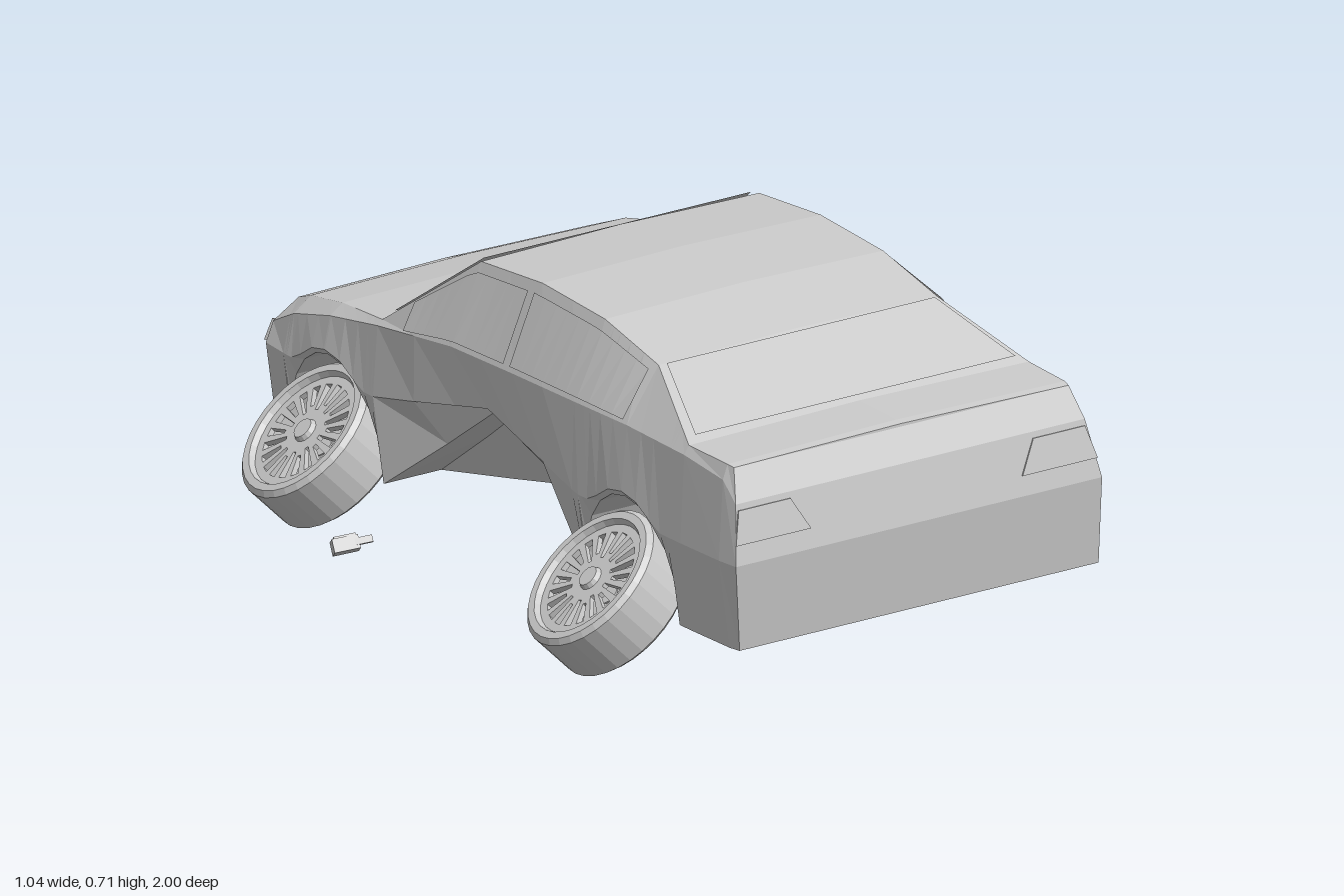
import * as THREE from 'three';

const mat = new THREE.MeshStandardMaterial({ color: 0xcccccc, flatShading: true, side: THREE.DoubleSide });
const mesh = (name, geo) => { const m = new THREE.Mesh(geo, mat); m.name = name; return m; };

// Geometry from a list of points and quads
function quadGeometry(points, quads) {
  const g = new THREE.BufferGeometry();
  g.setAttribute('position', new THREE.Float32BufferAttribute(points.flat(), 3));
  g.setIndex(quads.flatMap(([a, b, c, d]) => [a, b, c, a, c, d]));
  g.computeVertexNormals();
  return g;
}

// Body outline along z: z, half width, shoulder x and y, top edge x and y
const KEYS = [
  [-1, 0.24, 0.25, 0.325, 0.24, 0.35],
  [-0.97, 0.35, 0.345, 0.345, 0.3, 0.375],
  [-0.9, 0.405, 0.385, 0.38, 0.325, 0.415],
  [-0.8, 0.413, 0.39, 0.42, 0.35, 0.448],
  [-0.64, 0.415, 0.395, 0.455, 0.365, 0.475],
  [-0.45, 0.415, 0.392, 0.48, 0.38, 0.49],
  [-0.15, 0.415, 0.392, 0.51, 0.309, 0.665],
  [0.1, 0.415, 0.392, 0.515, 0.309, 0.681],
  [0.35, 0.415, 0.392, 0.518, 0.309, 0.668],
  [0.56, 0.415, 0.39, 0.52, 0.31, 0.625],
  [0.79, 0.415, 0.39, 0.515, 0.378, 0.532],
  [0.94, 0.412, 0.388, 0.5, 0.375, 0.529],
  [1, 0.407, 0.388, 0.46, 0.372, 0.526],
];
function outline(z) {
  let i = 0;
  while (i < KEYS.length - 2 && z > KEYS[i + 1][0]) i++;
  const t = (z - KEYS[i][0]) / (KEYS[i + 1][0] - KEYS[i][0]);
  return KEYS[i].map((v, k) => v + (KEYS[i + 1][k] - v) * t);
}

const FLOOR = 0.16, HUB_Y = 0.197, ARCH_R = 0.182, AXLES = [-0.635, 0.56];
function archHeight(z) {
  for (const c of AXLES) {
    const d = Math.abs(z - c);
    if (d < ARCH_R) return HUB_Y + Math.sqrt(ARCH_R ** 2 - d * d);
  }
  return FLOOR;
}

// One half of a cross-section, from the middle of the floor to the middle of the top
function halfSection(z, s) {
  const [, w, sx, sy, tx, ty] = outline(z);
  const a = archHeight(z), inner = Math.min(0.28, w - 0.03);
  const p = [[0, FLOOR], [inner, FLOOR], [inner, a], [w - 0.008, a],
    [w, Math.min(Math.max(0.34, a + 0.012), sy - 0.02)], [sx, sy], [tx, ty], [0, ty + 0.006]];
  const slope = z >= 1 ? [-0.03, -0.03, -0.03, -0.03, 0, -0.015, -0.04, -0.04]
    : z <= -1 ? [0.02, 0.02, 0.02, 0.02, 0, 0.01, 0.025, 0.015] : [];
  const out = p.map(([x, y], j) => [x * s, y, z + (slope[j] || 0)]);
  // Crushed sill on one side, deepest near the middle
  if (s < 0) {
    const k = Math.max(0, z > -0.03 ? 1 - (z + 0.03) / 0.4 : 1 - (-0.03 - z) / 0.41);
    const push = { 1: [0.23, 0], 2: [0.1, 0.29], 3: [0.2, 0.3], 4: [0.03, 0.07] };
    for (const j in push) { out[j][0] += push[j][0] * k; out[j][1] += push[j][1] * k; }
  }
  return out;
}

function bodyGeometry() {
  const zs = KEYS.map(k => k[0]);
  zs.push(-0.03, -0.3, 0.22);
  for (const c of AXLES) {
    zs.push(c - ARCH_R - 0.001, c + ARCH_R + 0.001);
    for (let k = 0; k <= 10; k++) zs.push(c - 0.9999 * ARCH_R * Math.cos(k * Math.PI / 10));
  }
  zs.sort((a, b) => a - b);
  const N = 14, pts = [], quads = [];
  zs.forEach((z, i) => {
    pts.push(...halfSection(z, 1), ...halfSection(z, -1).slice(1, 7).reverse());
    if (i === 0) return;
    const o = (i - 1) * N;
    for (let j = 0; j < N; j++) {
      const n = (j + 1) % N;
      quads.push([o + j, o + n, o + N + n, o + N + j]);
    }
  });
  // Nose and tail caps
  const last = (zs.length - 1) * N;
  for (let j = 0; j < 7; j++) {
    const l = (N - j) % N, l1 = N - j - 1;
    quads.push([last + j, last + j + 1, last + l1, last + l], [l, l1, j + 1, j]);
  }
  return quadGeometry(pts, quads);
}

// Window ribbon: edge(z) gives its two border points
function ribbon(z0, z1, edge, flip) {
  const pts = [], quads = [], n = 10;
  for (let i = 0; i <= n; i++) {
    pts.push(...edge(z0 + (z1 - z0) * i / n));
    const o = 2 * i;
    if (i < n) quads.push(flip ? [o, o + 2, o + 3, o + 1] : [o, o + 1, o + 3, o + 2]);
  }
  return quadGeometry(pts, quads);
}
const sideWindow = (z0, z1, s) => ribbon(z0, z1, z => {
  const [, , sx, sy, tx, ty] = outline(z);
  return [0.06, 0.88].map(t => [s * (sx + (tx - sx) * t + 0.005), sy + (ty - sy) * t + 0.002, z]);
}, s < 0);
const screen = (z0, z1) => ribbon(z0, z1, z => {
  const o = outline(z);
  return [1, -1].map(s => [s * o[4] * 0.95, o[5] + 0.009, z]);
}, false);

// Thin raised plate from four corners, pushed out along its own normal
function plate(corners, depth = 0.006) {
  const v = corners.map(c => new THREE.Vector3(...c));
  const n = v[1].clone().sub(v[0]).cross(v[2].clone().sub(v[0])).normalize();
  const shift = d => v.map(p => p.clone().addScaledVector(n, d).toArray());
  const quads = [[4, 5, 6, 7]];
  for (let i = 0; i < 4; i++) quads.push([i, (i + 1) % 4, 4 + (i + 1) % 4, 4 + i]);
  return quadGeometry([...shift(-depth), ...shift(depth)], quads);
}
const mirrored = (corners, s) => s > 0 ? corners : corners.map(([x, y, z]) => [-x, y, z]).reverse();

// Wheel with its outer face towards +y
function wheel(name) {
  const g = new THREE.Group();
  g.name = name;
  const lathe = pts => new THREE.LatheGeometry(pts.map(p => new THREE.Vector2(...p)), 32);
  g.add(mesh('tire', lathe([[0.118, -0.06], [0.148, -0.062], [0.16, -0.052], [0.16, 0.052],
    [0.15, 0.062], [0.134, 0.062], [0.126, 0.044]])));
  g.add(mesh('rimBarrel', lathe([[0, -0.005], [0.1, -0.005], [0.108, -0.05], [0.118, -0.06]])));
  const face = new THREE.Shape().absarc(0, 0, 0.128, 0, Math.PI * 2);
  for (let i = 0; i < 20; i++) {
    const a = i * Math.PI / 10, r0 = i % 2 ? 0.05 : 0.062;
    const at = (r, h) => new THREE.Vector2(r * Math.cos(a) - h * Math.sin(a), r * Math.sin(a) + h * Math.cos(a));
    face.holes.push(new THREE.Path([at(r0, -0.004), at(r0, 0.004), at(0.11, 0.0095), at(0.11, -0.0095)]));
  }
  const rim = mesh('spokedRim', new THREE.ExtrudeGeometry(face, { depth: 0.012, bevelEnabled: false, curveSegments: 16 }));
  rim.rotation.x = -Math.PI / 2;
  rim.position.y = 0.038;
  const cap = mesh('hubCap', new THREE.CylinderGeometry(0.022, 0.027, 0.012, 16));
  cap.position.y = 0.054;
  const hub = mesh('innerHub', new THREE.CylinderGeometry(0.022, 0.022, 0.02, 12));
  hub.position.y = -0.012;
  g.add(rim, cap, hub);
  return g;
}

// Door mirror on a short arm, pointing to +x
function doorMirror(name) {
  const g = new THREE.Group();
  g.name = name;
  const shell = mesh('mirrorShell', plate([[-0.026, -0.018, 0], [0.026, -0.02, 0], [0.028, 0.02, 0], [-0.024, 0.018, 0]], 0.014));
  const back = mesh('mirrorBack', new THREE.BoxGeometry(0.044, 0.032, 0.024));
  back.position.z = -0.006;
  const arm = mesh('mirrorArm', new THREE.BoxGeometry(0.035, 0.01, 0.014));
  arm.position.set(-0.035, -0.014, 0);
  g.add(shell, back, arm);
  return g;
}

export function createModel() {
  const root = new THREE.Group();
  root.name = 'wreckedCar';
  const car = new THREE.Group();
  car.name = 'tiltedCar';
  car.rotation.z = 0.093;
  car.position.set(0.108, 0.01, 0);
  root.add(car);

  car.add(mesh('bodyShell', bodyGeometry()));
  car.add(mesh('windshield', screen(-0.438, -0.162)), mesh('rearWindow', screen(0.572, 0.778)));
  for (const s of [1, -1]) {
    const side = s > 0 ? 'left' : 'right';
    car.add(mesh(side + 'FrontDoorWindow', sideWindow(-0.34, 0.065, s)));
    car.add(mesh(side + 'RearDoorWindow', sideWindow(0.09, 0.545, s)));
    car.add(mesh(side + 'TailLight', plate(mirrored(
      [[0.235, 0.38, 0.994], [0.402, 0.38, 0.994], [0.385, 0.447, 0.985], [0.27, 0.447, 0.985]], s), 0.005)));
    car.add(mesh(side + 'Headlight', plate(mirrored(
      [[0.39, 0.335, -0.925], [0.25, 0.31, -0.994], [0.25, 0.338, -0.988], [0.375, 0.378, -0.912]], s), 0.006)));
    car.add(mesh(side + 'FogLight', plate(mirrored(
      [[0.352, 0.215, -0.968], [0.26, 0.215, -0.995], [0.26, 0.25, -0.995], [0.355, 0.25, -0.968]], s), 0.004)));
  }

  // Nose trim: grille slats and lower intake frame
  for (const [y, w, h] of [[0.332, 0.42, 0.006], [0.318, 0.44, 0.006], [0.304, 0.44, 0.006], [0.262, 0.46, 0.01], [0.2, 0.46, 0.012]]) {
    const bar = mesh('grilleBar', new THREE.BoxGeometry(w, h, 0.014));
    bar.position.set(0, y, -0.991);
    car.add(bar);
  }

  // Wheels still in place on one side
  for (const z of AXLES) {
    const w = wheel(z < 0 ? 'leftFrontWheel' : 'leftRearWheel');
    w.rotation.z = -Math.PI / 2;
    w.position.set(0.362, HUB_Y, z);
    car.add(w);
  }
  // Wheels knocked over on the other side
  for (const [name, x, y, z] of [['rightFrontWheel', -0.345, 0.168, -0.64], ['rightRearWheel', -0.369, 0.158, 0.555]]) {
    const w = wheel(name);
    w.rotation.z = 0.82;
    w.position.set(x, y, z);
    root.add(w);
  }

  const leftMirror = doorMirror('leftMirror');
  leftMirror.position.set(0.47, 0.57, -0.33);
  leftMirror.rotation.z = 0.07;
  const rightMirror = doorMirror('rightMirror');
  rightMirror.position.set(-0.46, 0.055, -0.335);
  rightMirror.rotation.set(1.1, 0, Math.PI + 0.4);
  root.add(leftMirror, rightMirror);
  return root;
}
